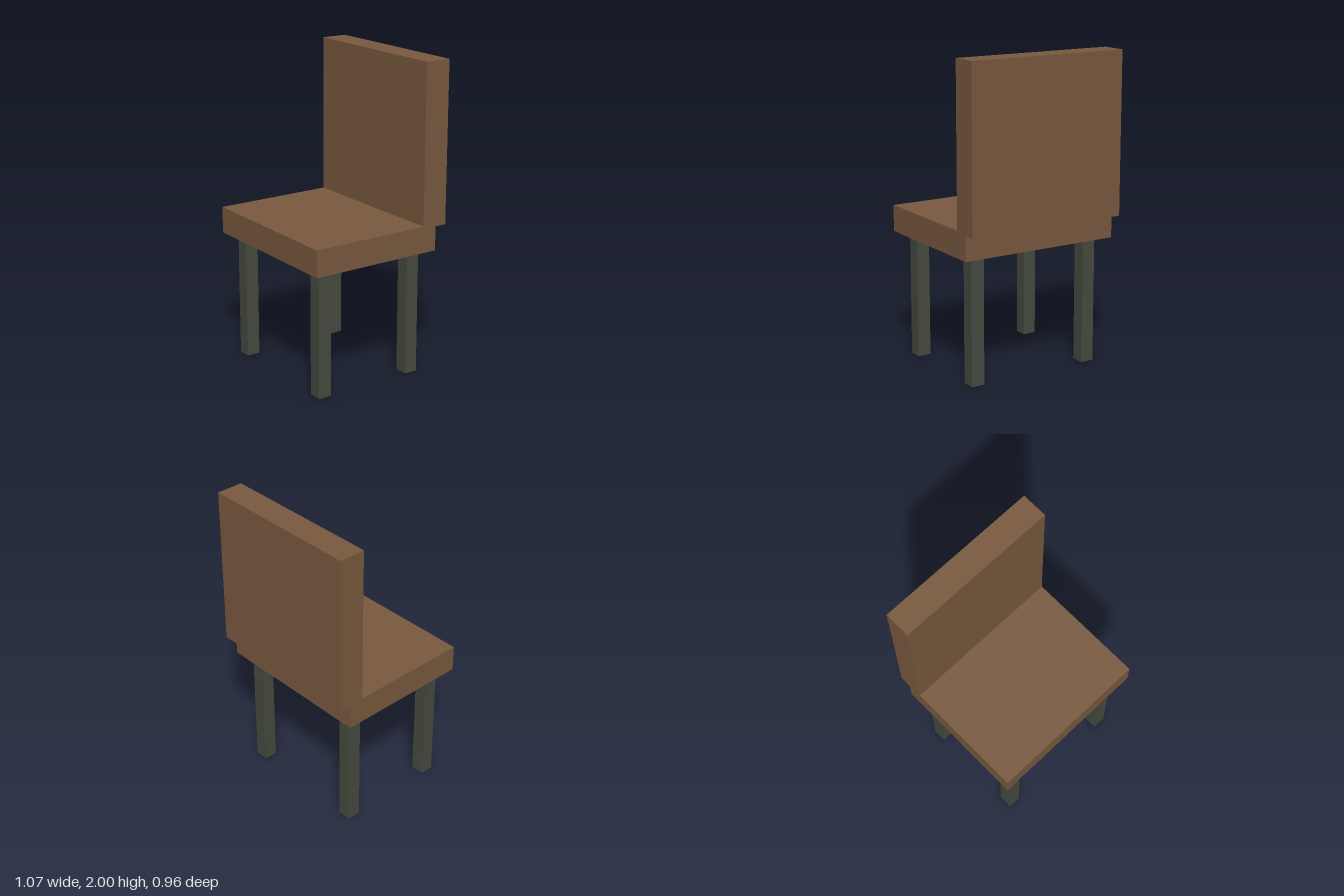
import * as THREE from 'three';

const wood = new THREE.MeshStandardMaterial({ color: 0x7a5a3f });
const darkMetal = new THREE.MeshStandardMaterial({ color: 0x474b40 });

// Box given by its [min, max] extent along each axis
function slab(name, [x0, x1], [y0, y1], [z0, z1], material) {
  const mesh = new THREE.Mesh(new THREE.BoxGeometry(x1 - x0, y1 - y0, z1 - z0), material);
  mesh.position.set((x0 + x1) / 2, (y0 + y1) / 2, (z0 + z1) / 2);
  mesh.name = name;
  return mesh;
}

export function createModel() {
  const chair = new THREE.Group();
  chair.name = 'chair';

  // Seat, and the backrest overlapping its rear edge
  const width = [-0.533, 0.533];
  chair.add(slab('seat', width, [0.815, 0.985], [-0.403, 0.48], wood));
  chair.add(slab('backrest', width, [0.97, 2], [-0.48, -0.308], wood));

  // Four square legs
  const half = 0.044;
  for (const [row, z] of [['front', 0.369], ['back', -0.291]]) {
    for (const [side, x] of [['Left', 0.409], ['Right', -0.409]]) {
      chair.add(slab(`${row}${side}Leg`, [x - half, x + half], [0, 0.815], [z - half, z + half], darkMetal));
    }
  }
  return chair;
}
